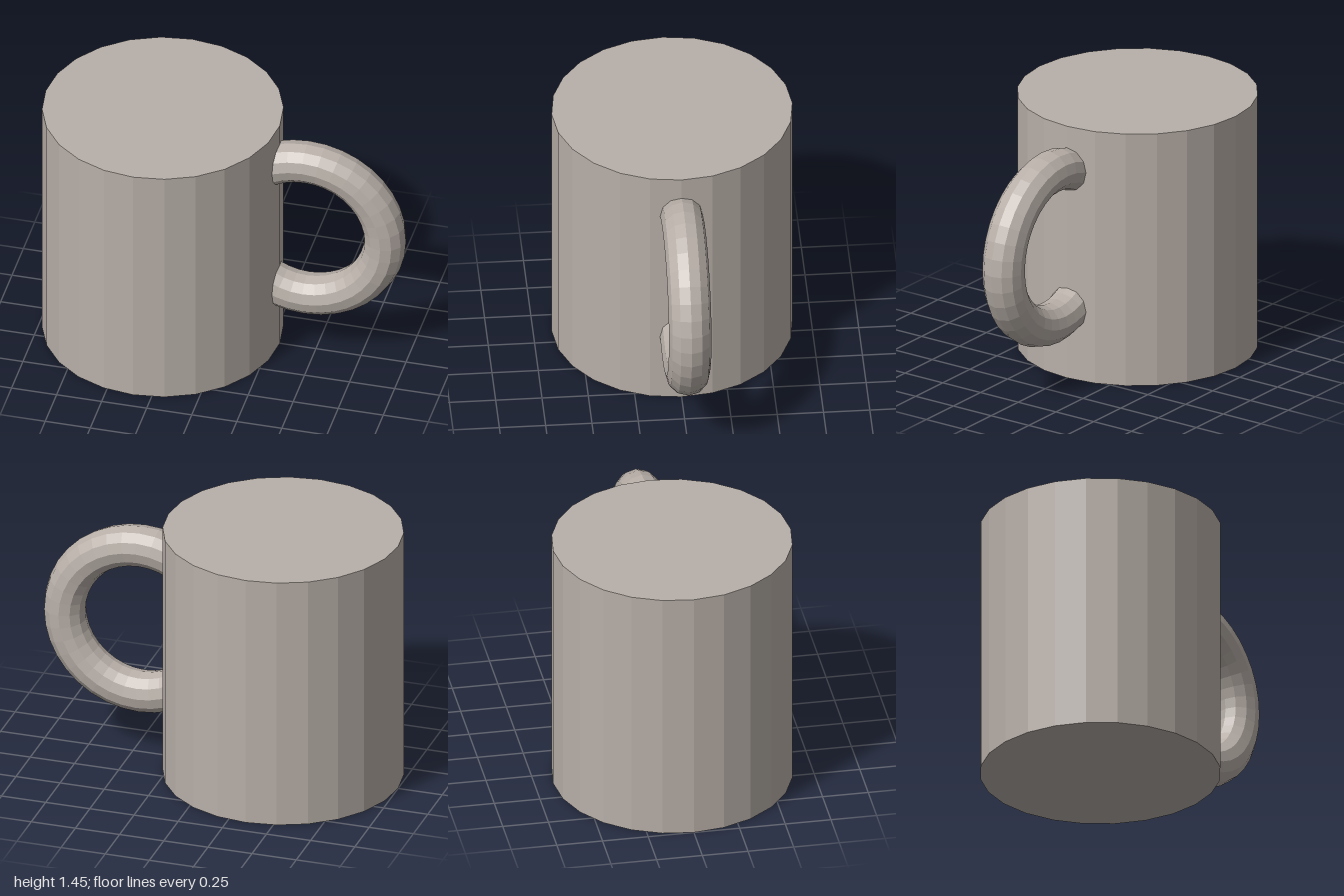
import * as THREE from 'three';

export function createModel() {
  const model = new THREE.Group();
  model.name = 'mug';

  const clay = new THREE.MeshStandardMaterial({ color: 0xb8afa8, flatShading: true });
  clay.name = 'warm grey clay';

  // Solid closed body, standing on the ground
  const height = 1.45;
  const body = new THREE.Mesh(new THREE.CylinderGeometry(0.65, 0.65, height, 24), clay);
  body.name = 'body';
  body.position.set(-0.35, height / 2, 0);
  model.add(body);

  // Ring handle, its open ends buried inside the body
  const halfArc = THREE.MathUtils.degToRad(130);
  const handle = new THREE.Mesh(new THREE.TorusGeometry(0.435, 0.115, 12, 26, halfArc * 2), clay);
  handle.name = 'handle';
  handle.position.set(0.45, 0.8, 0);
  handle.rotation.z = -halfArc;
  model.add(handle);

  return model;
}
